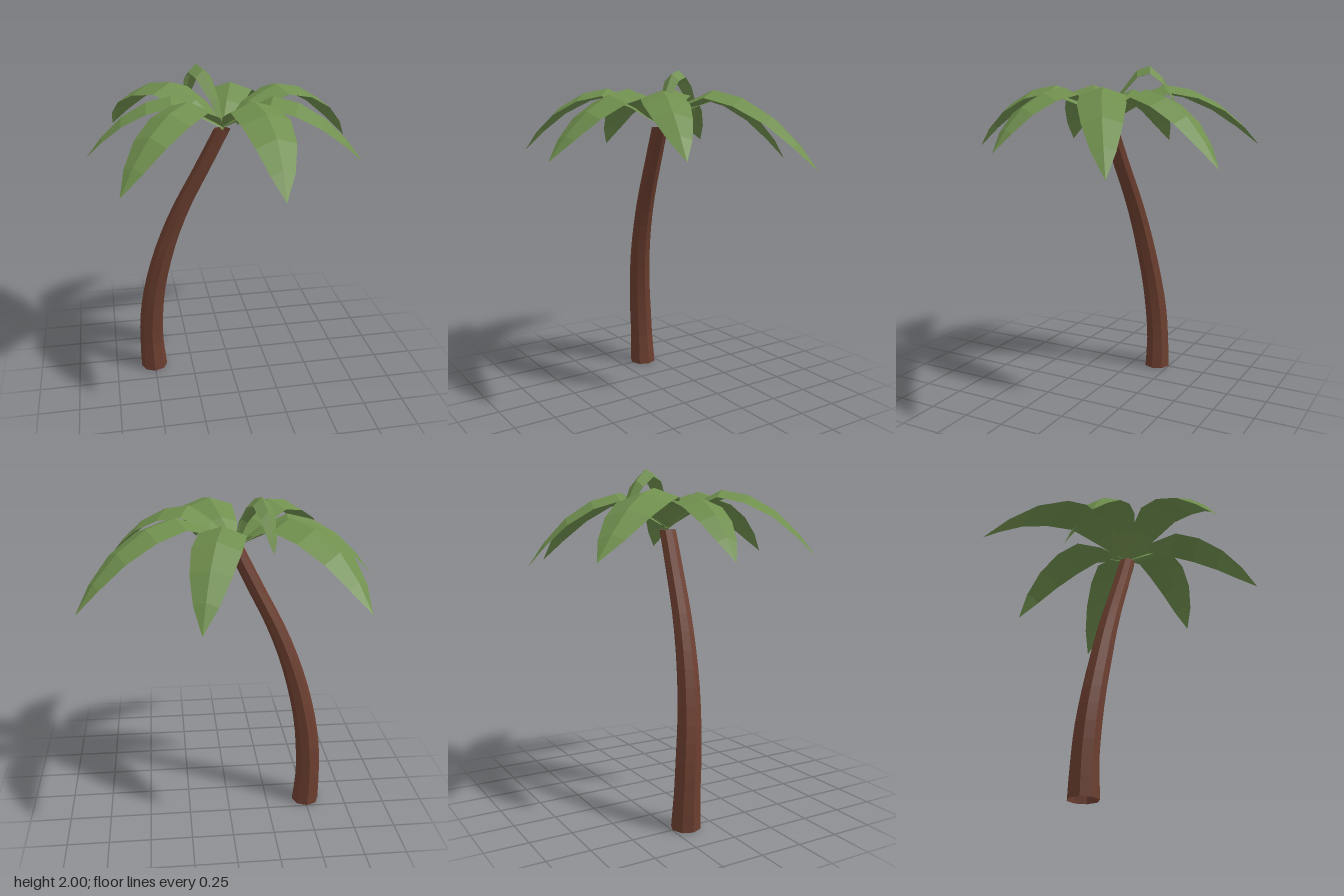
import * as THREE from 'three';

const bark = new THREE.MeshStandardMaterial({ color: 0x6b3e2f, flatShading: true, side: THREE.DoubleSide });
bark.name = 'bark';
const leaf = new THREE.MeshStandardMaterial({ color: 0x708f4e, flatShading: true, side: THREE.DoubleSide });
leaf.name = 'leaf';

const CROWN = new THREE.Vector3(-0.05, 1.66, -0.02);

// Stations along a frond: [distance 0-1, ridge height, relative half width]
const ARCHED = [[0, 1.675, 0.1], [0.18, 1.808, 0.68], [0.37, 1.888, 0.97], [0.55, 1.855, 1],
  [0.73, 1.765, 0.82], [0.88, 1.638, 0.49], [1, 1.5, 0]];
const CURLED = [[0, 1.66, 0.15], [0.15, 1.84, 0.55], [0.4, 1.975, 0.95], [0.58, 2.0, 1], [0.76, 1.935, 0.85],
  [0.92, 1.82, 0.5], [1, 1.73, 0]];

// Folded sheet: left edge, raised ridge, right edge at each station
function frondGeometry([tipX, tipY, tipZ], halfWidth, bend, lift, stations, fold) {
  const dx = tipX - CROWN.x, dz = tipZ - CROWN.z, len = Math.hypot(dx, dz);
  const nx = -dz / len, nz = dx / len;
  const last = stations[stations.length - 1][1];
  const pos = [], idx = [];
  stations.forEach(([t, y, w], i) => {
    const arch = 4 * t * (1 - t);
    const mid = bend * arch;
    const ridgeY = y + lift * arch + (tipY - last) * t * t;
    for (const s of [-1, 0, 1]) {
      const off = mid + s * w * halfWidth;
      pos.push(CROWN.x + dx * t + nx * off, ridgeY - Math.abs(s) * w * halfWidth * fold, CROWN.z + dz * t + nz * off);
    }
    if (i === 0) return;
    for (const k of [0, 1]) {
      const a = (i - 1) * 3 + k, b = a + 1, c = a + 3, d = a + 4;
      idx.push(a, c, b);
      if (i < stations.length - 1) idx.push(b, c, d);
    }
  });
  // Wind so that the front faces point upward
  for (let i = 0; i < idx.length; i += 3) {
    const [a, b, c] = [idx[i], idx[i + 1], idx[i + 2]].map(j => new THREE.Vector3().fromArray(pos, j * 3));
    if (b.sub(a).cross(c.sub(a)).y < 0) [idx[i + 1], idx[i + 2]] = [idx[i + 2], idx[i + 1]];
  }
  const g = new THREE.BufferGeometry();
  g.setAttribute('position', new THREE.Float32BufferAttribute(pos, 3));
  g.setIndex(idx);
  g.computeVertexNormals();
  return g;
}

// Leaning open-ended trunk: a cylinder whose rings follow a smooth curve and taper
function trunkGeometry() {
  const path = new THREE.CatmullRomCurve3([
    [-0.503, 0, -0.163], [-0.512, 0.2, -0.16], [-0.505, 0.4, -0.147], [-0.479, 0.6, -0.127],
    [-0.433, 0.8, -0.105], [-0.37, 1.0, -0.085], [-0.287, 1.2, -0.064], [-0.185, 1.4, -0.043], [-0.055, 1.66, -0.02],
  ].map(p => new THREE.Vector3(...p)));
  const radii = [0.085, 0.076, 0.074, 0.069, 0.065, 0.06, 0.056, 0.053, 0.05];
  const n = 16;
  const g = new THREE.CylinderGeometry(1, 1, 1, 8, n, true);
  const p = g.attributes.position;
  for (let i = 0; i < p.count; i++) {
    const t = THREE.MathUtils.clamp(p.getY(i) + 0.5, 0, 1);
    const c = path.getPoint(t);
    const k = Math.min(Math.floor(t * 8), 7);
    const r = THREE.MathUtils.lerp(radii[k], radii[k + 1], t * 8 - k);
    p.setXYZ(i, c.x + p.getX(i) * r, c.y, c.z + p.getZ(i) * r);
  }
  g.computeVertexNormals();
  return g;
}

export function createModel() {
  const group = new THREE.Group();
  group.name = 'palmTree';

  const trunk = new THREE.Mesh(trunkGeometry(), bark);
  trunk.name = 'trunk';
  group.add(trunk);

  // Large fronds: tip, half width, sideways bend, extra arch height
  const fronds = [
    [[-0.665, 1.52, -0.765], 0.15, -0.06, 0],
    [[0.19, 1.45, -0.805], 0.135, 0.008, -0.015],
    [[0.835, 1.45, -0.465], 0.13, 0.03, 0],
    [[0.69, 1.53, 0.30], 0.13, 0.04, -0.015],
    [[0.13, 1.51, 0.80], 0.142, -0.06, 0],
    [[-0.675, 1.51, 0.59], 0.135, -0.01, 0],
    [[-0.84, 1.51, -0.08], 0.12, 0, -0.03],
  ];
  fronds.forEach(([tip, halfWidth, bend, lift], i) => {
    const mesh = new THREE.Mesh(frondGeometry(tip, halfWidth, bend, lift, ARCHED, 0.34), leaf);
    mesh.name = `frond${i + 1}`;
    group.add(mesh);
  });

  // Small curled frond standing above the crown
  const young = new THREE.Mesh(frondGeometry([-0.22, 1.73, -0.4], 0.055, -0.025, 0, CURLED, 0.8), leaf);
  young.name = 'youngFrond';
  group.add(young);
  return group;
}
